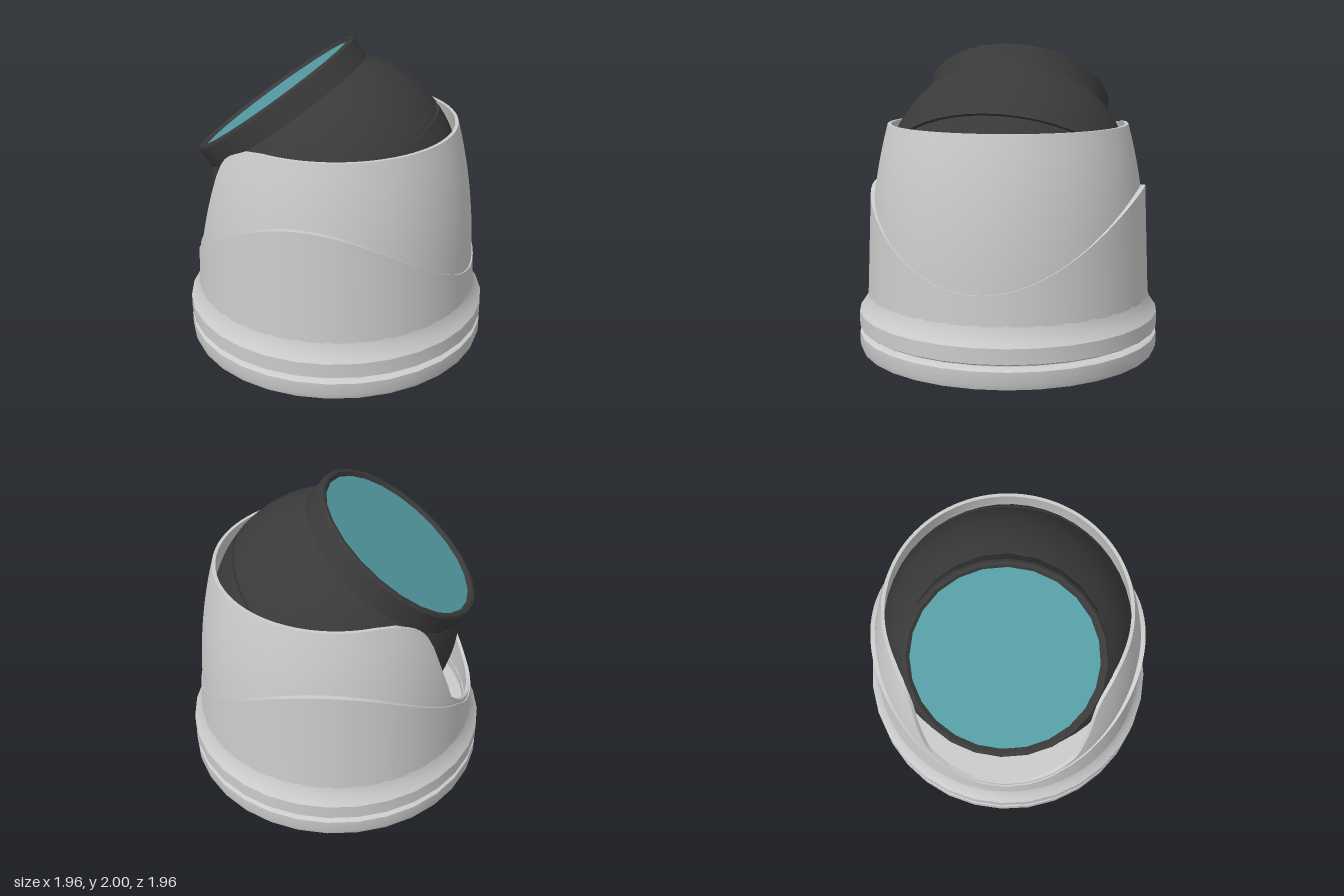
import * as THREE from 'three';
import { toCreasedNormals } from 'three/addons/utils/BufferGeometryUtils.js';

const grey = new THREE.MeshStandardMaterial({ color: 0xcccccc });
const dark = new THREE.MeshStandardMaterial({ color: 0x3a3a3a });
const teal = new THREE.MeshStandardMaterial({ color: 0x559ba3 });

function mesh(name, geometry, material) {
  const m = new THREE.Mesh(toCreasedNormals(geometry, 0.5), material);
  m.name = name;
  return m;
}

function lathe(name, points, segments, material) {
  return mesh(name, new THREE.LatheGeometry(points.map(([r, y]) => new THREE.Vector2(r, y)), segments), material);
}

// Thin round wall whose radius depends on height and whose top edge depends on
// the angle (in degrees) away from the opening at -x
function wall(name, bottom, thickness, radiusAt, topAt, segments) {
  const steps = 14, profile = [];
  for (let k = 0; k <= steps; k++) profile.push([k / steps, 0]);
  for (let k = steps; k >= 0; k--) profile.push([k / steps, thickness]);
  const geo = new THREE.LatheGeometry(profile.map(([t]) => new THREE.Vector2(1, t)), segments);
  const pos = geo.attributes.position;
  for (let i = 0; i <= segments; i++) {
    const a = (i / segments) * Math.PI * 2, s = Math.sin(a), c = Math.cos(a);
    const top = topAt(THREE.MathUtils.radToDeg(Math.acos(THREE.MathUtils.clamp(-s, -1, 1))));
    profile.forEach(([t, inset], j) => {
      const y = bottom + (top - bottom) * t, r = radiusAt(y) - inset;
      pos.setXYZ(i * profile.length + j, r * s, y, r * c);
    });
  }
  return mesh(name, geo, grey);
}

// Edge of the cover's U-shaped opening: [degrees from -x, height]
const CUT = [[0, 0.56], [13, 0.585], [24, 0.67], [33, 0.8], [39, 1.08], [43.5, 1.3], [47, 1.375],
  [51, 1.42], [60, 1.475], [69, 1.49], [180, 1.49]];

function coverTop(deg) {
  const k = Math.max(1, CUT.findIndex(([d]) => d >= deg - 1e-4));
  const [d0, y0] = CUT[k - 1], [d1, y1] = CUT[k];
  return y0 + ((y1 - y0) * (deg - d0)) / (d1 - d0);
}

function sleeveTop(deg) {
  const s = Math.sin(THREE.MathUtils.degToRad(deg));
  return Math.min(0.57 + 0.53 * s * s, coverTop(deg) - 0.03);
}

export function createModel() {
  const model = new THREE.Group();
  model.name = 'domeCamera';

  // Base with a groove around it and a stepped floor inside
  model.add(lathe('base', [
    [0, 0], [0.8, 0.005], [0.93, 0.015], [0.97, 0.03], [0.98, 0.06], [0.98, 0.14], [0.965, 0.15], [0.92, 0.155],
    [0.92, 0.17], [0.965, 0.175], [0.98, 0.185], [0.98, 0.28], [0.965, 0.3], [0.935, 0.345], [0.92, 0.4],
    [0.88, 0.4], [0.88, 0.34], [0.8, 0.34], [0.8, 0.29], [0, 0.29],
  ], 32, grey));

  // Wavy outer sleeve and the tapering cover inside it
  model.add(wall('sleeve', 0.39, 0.03, y => 0.92 - 0.043 * (y - 0.4), sleeveTop, 96));
  model.add(wall('cover', 0.34, 0.022,
    y => 0.905 - 0.13 * Math.pow(Math.max(0, (y - 0.4) / 1.09), 2.3), coverTop, 144));

  // Tilted camera head, built along its own axis around the ball centre
  const head = new THREE.Group();
  head.name = 'cameraHead';
  head.position.y = 1.1;
  head.rotation.z = Math.asin(0.6);
  model.add(head);

  // Ball halves meeting at a narrow groove
  const R = 0.8, face = 0.517;
  const arc = (from, to, n) => Array.from({ length: n + 1 }, (_, i) => {
    const a = from + ((to - from) * i) / n;
    return [R * Math.cos(a), R * Math.sin(a)];
  });
  head.add(lathe('ball', [
    [0, -R], ...arc(-Math.PI / 2 + 0.08, -0.015, 18),
    [0.78, -0.012], [0.78, 0.02],
    ...arc(0.026, Math.asin(face / R), 9), [0, face],
  ], 48, dark));

  // Rim around the lens
  head.add(lathe('lensRim', [
    [0.55, face - 0.005], [0.61, face], [0.61, 0.655], [0.6, 0.67], [0.58, 0.67], [0.56, 0.65], [0.56, 0.6],
  ], 24, dark));

  const lens = mesh('lens', new THREE.CircleGeometry(0.562, 24), teal);
  lens.rotation.x = -Math.PI / 2;
  lens.position.y = 0.648;
  head.add(lens);

  return model;
}
